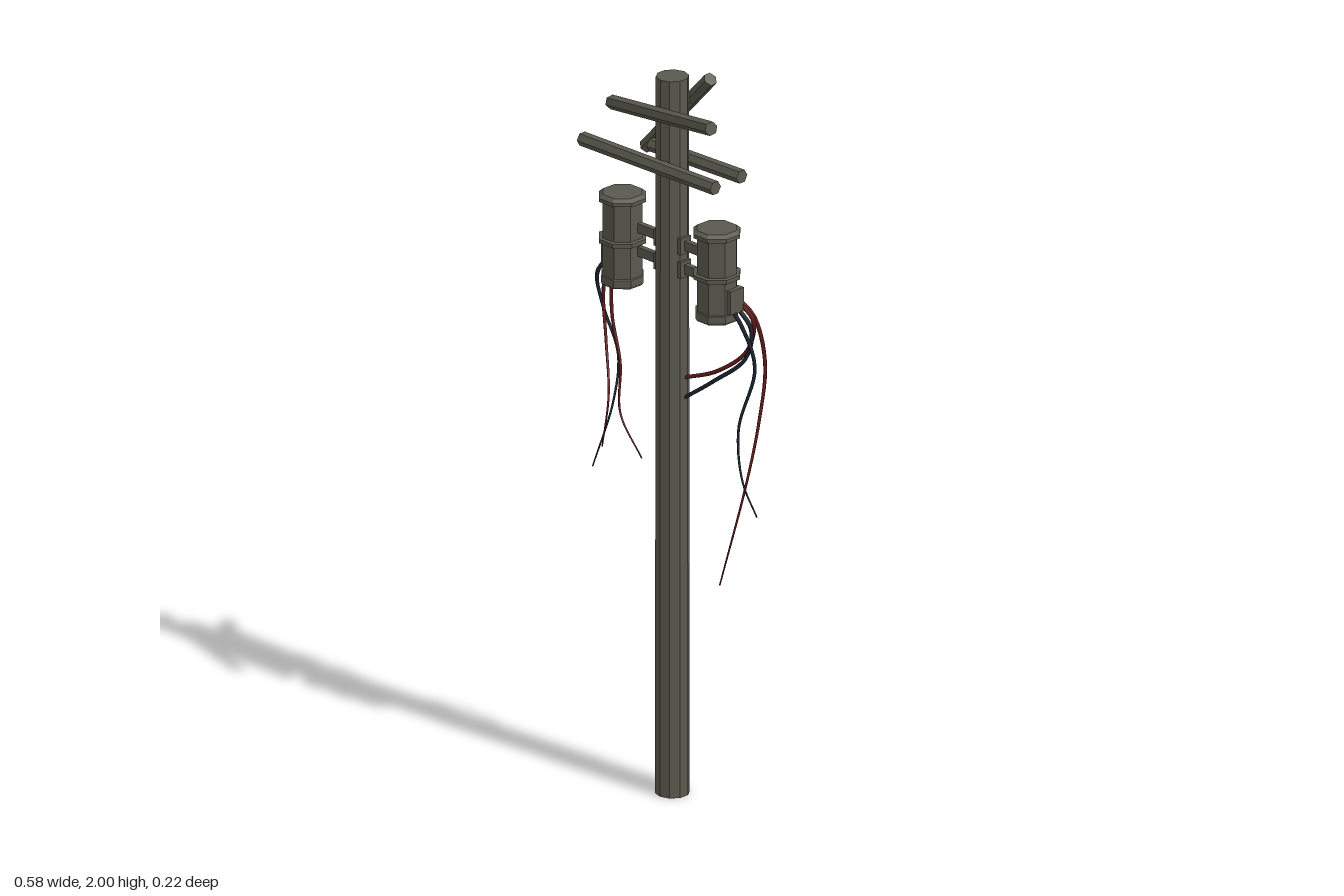
import * as THREE from 'three';

const mat = (name, color, flatShading = true) => {
  const m = new THREE.MeshStandardMaterial({ color, flatShading });
  m.name = name;
  return m;
};

export function createModel() {
  const wood = mat('weathered grey', 0x5a594e);
  const red = mat('red wire', 0x641a1a, false);
  const dark = mat('dark blue wire', 0x1b2632, false);
  const root = new THREE.Group();
  root.name = 'utilityPole';

  const add = (name, geo, material, x = 0, y = 0, z = 0, parent = root) => {
    const m = new THREE.Mesh(geo, material);
    m.name = name;
    m.position.set(x, y, z);
    parent.add(m);
    return m;
  };

  // Pole
  const px = -0.004, pz = -0.014;
  add('pole', new THREE.CylinderGeometry(0.043, 0.045, 1.98, 10), wood, px, 0.99, pz);

  // Loose crossbars, hexagonal beams between two end points
  const bar = (name, a, b, r = 0.019) => {
    const A = new THREE.Vector3(...a), B = new THREE.Vector3(...b);
    const dir = B.clone().sub(A);
    const m = add(name, new THREE.CylinderGeometry(r, r, dir.length(), 6), wood);
    m.position.copy(A).add(B).multiplyScalar(0.5);
    m.quaternion.setFromUnitVectors(new THREE.Vector3(0, 1, 0), dir.normalize());
  };
  bar('upperFrontCrossbar', [-0.228, 1.842, -0.016], [0.243, 1.935, 0.09]);
  bar('lowerFrontCrossbar', [-0.287, 1.737, 0.031], [0.206, 1.745, 0.038]);
  bar('lowerBackCrossbar', [-0.125, 1.742, -0.06], [0.21, 1.752, -0.053]);
  bar('fallenBackCrossbar', [-0.183, 1.71, -0.096], [0.09, 1.985, -0.058]);

  // Transformer cans: octagonal profile with rims and a middle band
  const k = 1 / Math.cos(Math.PI / 8);
  const profile = [
    [0, 1.363], [0.05, 1.363], [0.054, 1.37], [0.054, 1.388], [0.051, 1.39],
    [0.051, 1.478], [0.06, 1.48], [0.06, 1.491], [0.051, 1.493],
    [0.051, 1.592], [0.06, 1.594], [0.06, 1.604], [0.05, 1.613], [0, 1.613],
  ].map(([r, y]) => new THREE.Vector2(r * k, y));
  const can = new THREE.LatheGeometry(profile, 8).rotateY(Math.PI / 8);
  for (const [side, x] of [['right', -0.176], ['left', 0.168]]) {
    const s = Math.sign(x);
    add(side + 'Transformer', can, wood, x, 0, -0.004);
    add(side + 'WireSocket', new THREE.BoxGeometry(0.022, 0.065, 0.048), wood, x + s * 0.053, 1.425, -0.014);
    // Two arms to the pole
    for (const y of [1.525, 1.46])
      add(side + 'Arm', new THREE.BoxGeometry(0.11, 0.026, 0.015), wood, x - s * 0.08, y, -0.016);
  }
  // Bracket blocks through the pole
  for (const y of [1.525, 1.46])
    add('poleBracket', new THREE.BoxGeometry(0.098, 0.045, 0.038), wood, px, y, pz);

  // Wires: tubes that thin out toward the free end
  const wire = (name, material, r0, r1, pts) => {
    const curve = new THREE.CatmullRomCurve3(pts.map(p => new THREE.Vector3(...p)));
    const n = 32, sides = 6;
    const geo = new THREE.TubeGeometry(curve, n, 1, sides, false);
    const pos = geo.attributes.position, v = new THREE.Vector3();
    for (let i = 0; i < pos.count; i++) {
      const t = Math.floor(i / (sides + 1)) / n;
      const c = curve.getPointAt(t);
      v.fromBufferAttribute(pos, i).sub(c).multiplyScalar(r0 + (r1 - r0) * t).add(c);
      pos.setXYZ(i, v.x, v.y, v.z);
    }
    add(name, geo, material);
  };
  // Left side
  wire('leftWireToPoleRed', red, 0.006, 0.005,
    [[0.22, 1.42, -0.03], [0.245, 1.36, -0.06], [0.22, 1.27, -0.06], [0.14, 1.2, -0.035], [0.02, 1.15, -0.02]]);
  wire('leftWireToPoleDark', dark, 0.006, 0.005,
    [[0.22, 1.41, -0.02], [0.247, 1.34, -0.05], [0.22, 1.25, -0.055], [0.13, 1.17, -0.03], [0.02, 1.09, -0.02]]);
  wire('leftHangingWireRed', red, 0.006, 0.002,
    [[0.22, 1.43, -0.025], [0.243, 1.37, -0.065], [0.252, 1.235, -0.095], [0.25, 1.08, -0.075],
      [0.245, 0.92, -0.035], [0.205, 0.642, 0.022]]);
  wire('leftHangingWireDark', dark, 0.006, 0.002,
    [[0.22, 1.41, 0], [0.24, 1.36, -0.02], [0.25, 1.23, -0.06], [0.216, 1.06, -0.035],
      [0.245, 0.93, -0.02], [0.29, 0.84, -0.028]]);
  // Right side
  wire('rightHangingWireDark', dark, 0.006, 0.002,
    [[-0.225, 1.42, -0.01], [-0.262, 1.37, 0], [-0.285, 1.26, -0.04], [-0.243, 1.13, -0.055],
      [-0.235, 1.01, -0.03], [-0.28, 0.825, 0]]);
  wire('rightHangingWireRed', red, 0.006, 0.002,
    [[-0.225, 1.43, -0.02], [-0.26, 1.37, -0.03], [-0.282, 1.29, -0.04], [-0.262, 1.17, -0.03],
      [-0.217, 1.04, 0.005], [-0.21, 0.91, 0.035]]);
  wire('rightCurlingWireRed', red, 0.006, 0.002,
    [[-0.225, 1.41, -0.03], [-0.255, 1.35, -0.045], [-0.265, 1.23, -0.055], [-0.23, 1.11, -0.05],
      [-0.215, 0.98, -0.035], [-0.147, 0.872, -0.045]]);

  return root;
}
